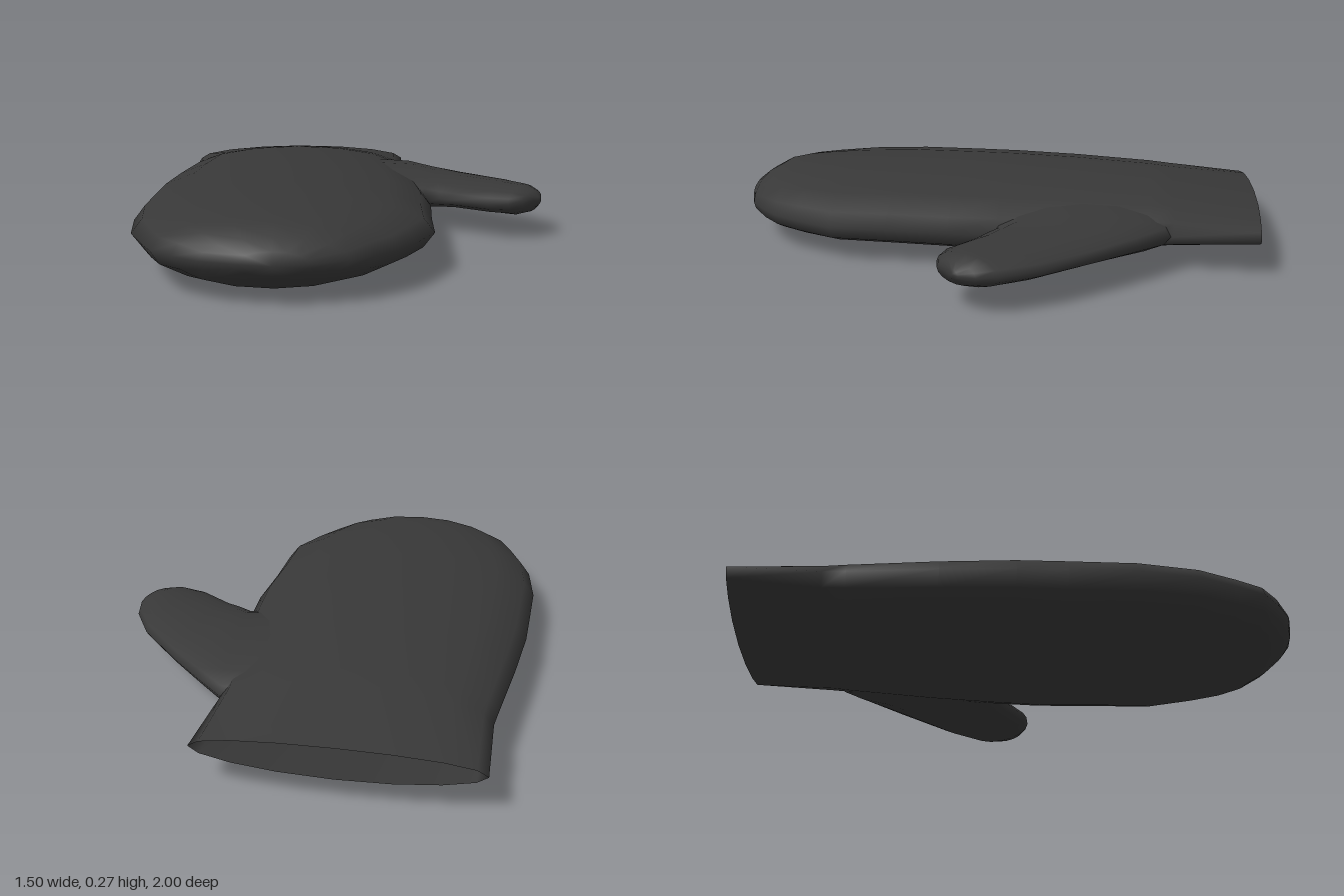
import * as THREE from 'three';
import { mergeVertices } from 'three/addons/utils/BufferGeometryUtils.js';

const SIDES = 16;
const MID_Y = 0.14;

// Lofts flat oval rings. Each station: [ax, az, bx, bz, half thickness],
// where a and b are the two ends of the oval in plan.
function loft(stations, rimBow = 0) {
  const pos = [], index = [];
  stations.forEach(([ax, az, bx, bz, h], i) => {
    for (let j = 0; j < SIDES; j++) {
      const t = (j / SIDES) * Math.PI * 2, c = Math.cos(t), s = Math.sin(t);
      const bow = i === 0 ? rimBow * s * s : 0;
      pos.push((ax + bx) / 2 + ((ax - bx) / 2) * c, MID_Y + h * s, (az + bz) / 2 + ((az - bz) / 2) * c - bow);
    }
  });
  for (let i = 0; i < stations.length - 1; i++) {
    const last = i === stations.length - 2;
    for (let j = 0; j < SIDES; j++) {
      const k = (j + 1) % SIDES;
      const a = i * SIDES + j, b = i * SIDES + k, c = a + SIDES, d = b + SIDES;
      index.push(a, b, c);
      if (!last) index.push(b, d, c); // the last ring closes to a point
    }
  }
  const geo = new THREE.BufferGeometry();
  geo.setAttribute('position', new THREE.Float32BufferAttribute(pos, 3));
  geo.setIndex(index);
  const merged = mergeVertices(geo, 1e-4);
  merged.computeVertexNormals();
  return merged;
}

export function createModel() {
  const group = new THREE.Group();
  group.name = 'mitten';
  const wool = new THREE.MeshStandardMaterial({ color: 0x383838, side: THREE.DoubleSide });
  wool.name = 'charcoal wool';

  // Hand and cuff: z, right edge x, left edge x, half thickness; open at the cuff
  const hand = [
    [-0.983, 0.26, -0.665, 0.055],
    [-0.68, 0.245, -0.66, 0.104],
    [-0.6, 0.25, -0.67, 0.113],
    [-0.3, 0.28, -0.71, 0.128],
    [-0.05, 0.3, -0.737, 0.134],
    [0.12, 0.308, -0.743, 0.136],
    [0.35, 0.292, -0.75, 0.135],
    [0.56, 0.285, -0.725, 0.13],
    [0.7, 0.215, -0.67, 0.123],
    [0.8, 0.155, -0.625, 0.114],
    [0.87, 0.08, -0.55, 0.103],
    [0.93, 0, -0.465, 0.07],
    [0.97, -0.12, -0.35, 0.038],
    [0.998, -0.235, -0.235, 0],
  ].map(([z, r, l, h]) => [r, z, l, z, h]);
  const handMesh = new THREE.Mesh(loft(hand, 0.016), wool);
  handMesh.name = 'handAndCuff';
  group.add(handMesh);

  // Thumb, growing out of the side of the hand
  const thumb = [
    [0.1, -0.7, 0.1, 0, 0.085],
    [0.245, -0.67, 0.3, -0.04, 0.076],
    [0.36, -0.56, 0.35, -0.005, 0.065],
    [0.48, -0.44, 0.4, 0.02, 0.057],
    [0.65, -0.25, 0.52, 0.1, 0.056],
    [0.73, -0.11, 0.595, 0.112, 0.055],
    [0.746, -0.04, 0.65, 0.102, 0.04],
    [0.735, 0.02, 0.695, 0.06, 0.016],
    [0.717, 0.042, 0.717, 0.042, 0],
  ];
  const thumbMesh = new THREE.Mesh(loft(thumb), wool);
  thumbMesh.name = 'thumb';
  group.add(thumbMesh);

  return group;
}
